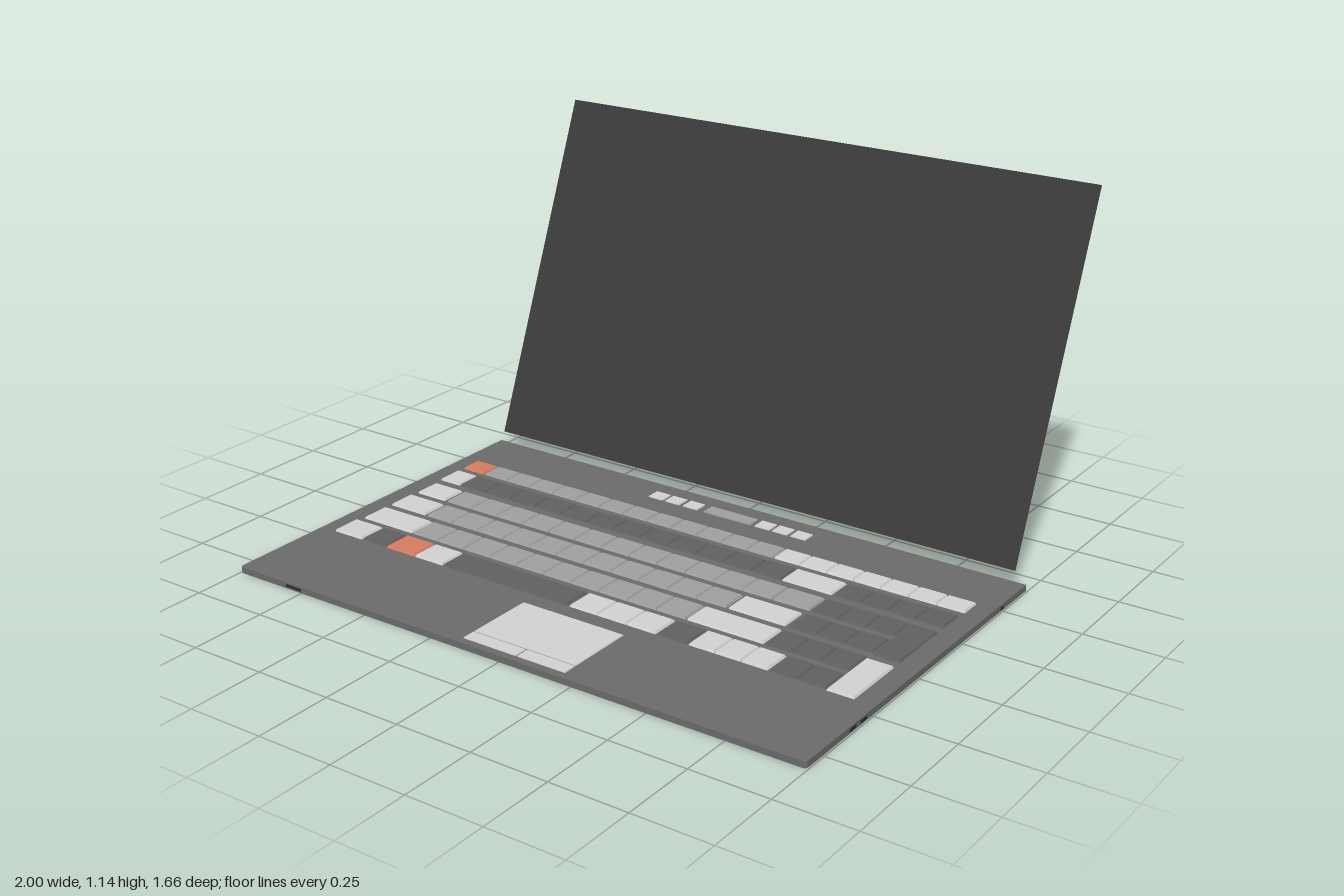
import * as THREE from 'three';

const mat = (name, color) => {
  const m = new THREE.MeshStandardMaterial({ color });
  m.name = name;
  return m;
};

export function createModel() {
  const model = new THREE.Group();
  model.name = 'laptop';
  const body = mat('bodyGrey', 0x6b6b6b);
  const screenMat = mat('screenCharcoal', 0x3b3b3b);
  screenMat.side = THREE.DoubleSide;
  const light = mat('lightKey', 0xd2d2d2);
  const mid = mat('midGreyKey', 0x9f9f9f);
  const dark = mat('darkKey', 0x606060);
  const orange = mat('orangeKey', 0xd57c60);
  const port = mat('portBlack', 0x2a2a2a);
  const TOP = 0.02;

  // Flat base with slightly rounded corners
  const r = 0.012, x0 = -1, x1 = 0.995, z0 = -0.41, z1 = 0.83;
  const outline = new THREE.Shape();
  outline.moveTo(x0 + r, -z1);
  outline.lineTo(x1 - r, -z1);
  outline.quadraticCurveTo(x1, -z1, x1, -z1 + r);
  outline.lineTo(x1, -z0);
  outline.lineTo(x0, -z0);
  outline.lineTo(x0, -z1 + r);
  outline.quadraticCurveTo(x0, -z1, x0 + r, -z1);
  const baseGeo = new THREE.ExtrudeGeometry(outline, { depth: TOP, bevelEnabled: false, curveSegments: 4 });
  baseGeo.rotateX(-Math.PI / 2);
  const base = new THREE.Mesh(baseGeo, body);
  base.name = 'base';
  model.add(base);

  // Thin tilted screen panel floating just above the hinge edge
  const rise = 1.08, lean = 0.43;
  const screen = new THREE.Mesh(new THREE.PlaneGeometry(1.94, Math.hypot(rise, lean)), screenMat);
  screen.name = 'screen';
  screen.position.set(-0.008, 0.6, -0.615);
  screen.rotation.x = -Math.atan2(lean, rise);
  model.add(screen);

  // Low block whose top is inset to give sloping sides
  function block(parent, name, material, xa, xb, za, zb, height = 0.007, inset = 0.004) {
    const w = xb - xa, d = zb - za;
    const geo = new THREE.BoxGeometry(w, height, d);
    const p = geo.attributes.position;
    for (let i = 0; i < p.count; i++) {
      if (p.getY(i) < 0) continue;
      p.setX(i, p.getX(i) - Math.sign(p.getX(i)) * inset);
      p.setZ(i, p.getZ(i) - Math.sign(p.getZ(i)) * inset);
    }
    geo.computeVertexNormals();
    const mesh = new THREE.Mesh(geo, material);
    mesh.name = name;
    mesh.position.set((xa + xb) / 2, TOP + height / 2, (za + zb) / 2);
    parent.add(mesh);
  }

  // Key rows: front and back z, then runs of [material, left x, right x, key count]
  const rows = [
    { z: [-0.21, -0.137], keys: [[orange, -0.94, -0.852, 1], [mid, -0.848, 0.283, 12], [light, 0.285, 0.935, 7]] },
    { z: [-0.108, -0.02], keys: [[light, -0.94, -0.858, 1], [dark, -0.857, 0.385, 12], [light, 0.387, 0.56, 1], [dark, 0.565, 0.93, 4]] },
    { z: [0.016, 0.105], keys: [[light, -0.93, -0.815, 1], [mid, -0.805, 0.433, 12], [mid, 0.435, 0.56, 1], [dark, 0.565, 0.84, 3]] },
    { z: [0.134, 0.227], keys: [[light, -0.935, -0.793, 1], [mid, -0.785, 0.353, 11], [light, 0.36, 0.555, 1], [dark, 0.565, 0.84, 3]] },
    { z: [0.257, 0.354], keys: [[light, -0.935, -0.736, 1], [mid, -0.732, 0.299, 10], [light, 0.302, 0.563, 1], [dark, 0.565, 0.84, 3]] },
    { z: [0.38, 0.478], keys: [[light, -0.945, -0.832, 1], [dark, -0.83, -0.733, 1], [orange, -0.731, -0.617, 1],
      [light, -0.616, -0.506, 1], [dark, -0.504, -0.032, 1], [light, -0.025, 0.282, 3], [dark, 0.286, 0.39, 1],
      [light, 0.393, 0.656, 3], [dark, 0.66, 0.84, 2]] },
  ];
  const keyboard = new THREE.Group();
  keyboard.name = 'keyboard';
  model.add(keyboard);
  rows.forEach(({ z, keys }) => {
    for (const [material, a, b, n] of keys) {
      const step = (b - a) / n;
      for (let i = 0; i < n; i++) {
        block(keyboard, 'key', material, a + i * step + 0.001, a + (i + 1) * step - 0.001, z[0], z[1]);
      }
    }
  });
  // Two tall number-pad keys
  block(keyboard, 'tallKey', dark, 0.843, 0.93, 0.016, 0.235);
  block(keyboard, 'tallKey', light, 0.843, 0.93, 0.267, 0.482);

  // Row of shortcut buttons around a central bar
  const shortcuts = new THREE.Group();
  shortcuts.name = 'shortcutButtons';
  model.add(shortcuts);
  for (const x of [-0.297, -0.232, -0.163, 0.11, 0.175, 0.242]) {
    block(shortcuts, 'shortcutButton', light, x, x + 0.055, -0.348, -0.3, 0.004, 0.001);
  }
  block(shortcuts, 'centreBar', mid, -0.083, 0.094, -0.348, -0.3, 0.004, 0.001);

  // Touchpad and its two buttons
  block(model, 'touchpad', light, -0.147, 0.212, 0.535, 0.755, 0.003, 0.001);
  block(model, 'touchpadLeftButton', light, -0.147, 0.041, 0.76, 0.805, 0.003, 0.001);
  block(model, 'touchpadRightButton', light, 0.046, 0.212, 0.76, 0.805, 0.003, 0.001);

  // Small dark sockets on the front and side edges
  const socket = (name, w, d, x, z) => {
    const mesh = new THREE.Mesh(new THREE.BoxGeometry(w, 0.008, d), port);
    mesh.name = name;
    mesh.position.set(x, 0.01, z);
    model.add(mesh);
  };
  socket('frontSocket', 0.06, 0.004, -0.78, z1);
  for (const z of [0.545, 0.6]) socket('sideSocket', 0.004, 0.03, x1, z);
  socket('sideLatch', 0.008, 0.012, x1, -0.25);

  return model;
}
